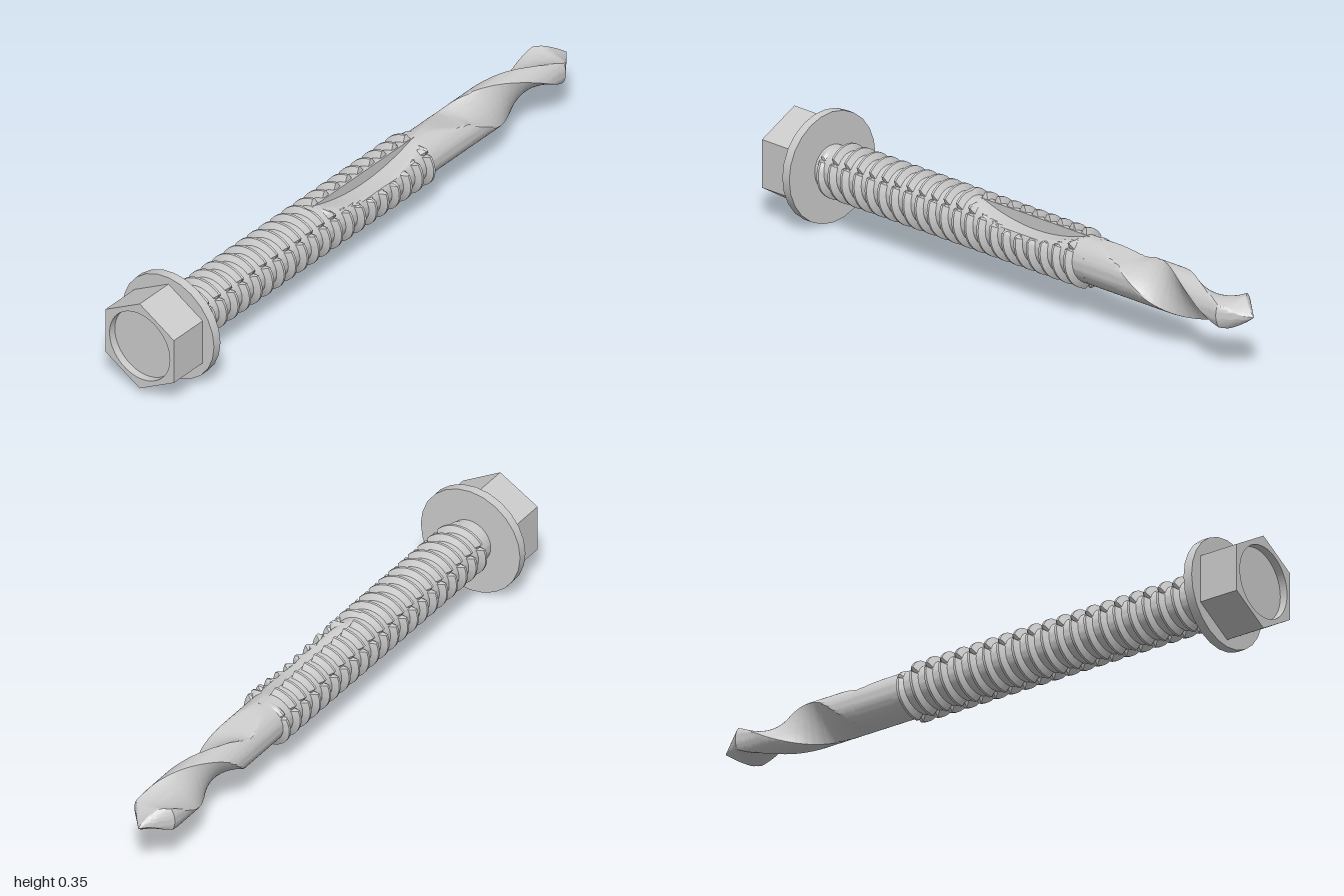
import * as THREE from 'three';
import { toCreasedNormals } from 'three/addons/utils/BufferGeometryUtils.js';

const AXIS_Y = 0.174, CORE = 0.071, CREST = 0.09;
const TAU = Math.PI * 2;
const lerp = THREE.MathUtils.lerp, smooth = THREE.MathUtils.smoothstep;

// Skin closed rings of [x, y, z] points into one surface
function loft(rings, crease = 0.6) {
  const n = rings[0].length, index = [];
  for (let i = 0; i < rings.length - 1; i++) {
    for (let j = 0; j < n; j++) {
      const a = i * n + j, b = i * n + (j + 1) % n;
      index.push(a, b, a + n, b, b + n, a + n);
    }
  }
  const g = new THREE.BufferGeometry();
  g.setAttribute('position', new THREE.Float32BufferAttribute(rings.flat(2), 3));
  g.setIndex(index);
  return toCreasedNormals(g, crease);
}

// Radius left at angle a (0 = up, quarter turn = front) once the side notch is cut
function notched(x, a, r, inset = 0) {
  const c = Math.cos(a), s = Math.sin(a);
  if (c <= 0 || s <= 0) return r;
  const floor = 0.032 - inset + 0.74 * (x - 0.05) ** 2;
  return Math.min(r, floor / c);
}

// Plain shank with the notch in its upper front quarter
function shankGeometry() {
  const rings = [];
  for (let i = 0; i <= 60; i++) {
    const x = lerp(-0.84, 0.33, i / 60), ring = [];
    for (let j = 0; j <= 64; j++) {
      const a = lerp(0.0005, TAU - 0.0005, j / 64);
      const r = notched(x, a, CORE);
      ring.push([x, r * Math.cos(a), r * Math.sin(a)]);
    }
    rings.push(ring);
  }
  return loft(rings);
}

// Right-hand helical thread with three small nicks per turn
function threadGeometry() {
  const pitch = 0.054, x0 = -0.822, turns = 21, perTurn = 60, rings = [];
  const profile = [[0.016, 0], [0.004, 1], [-0.004, 1], [-0.016, 0]];
  for (let i = 0; i <= turns * perTurn; i++) {
    const t = i / perTurn, a = t * TAU + 0.01;
    const fade = Math.min(1, t * 3, (turns - t) * 3);
    const nick = (i % perTurn) % 20 === 9 ? 0.25 : 1;
    const base = CORE - 0.003;
    rings.push(profile.map(([dx, up]) => {
      const x = x0 + t * pitch + dx;
      const r = notched(x, a, base + up * (CREST - base) * fade * nick, 0.002);
      return [x, r * Math.cos(a), r * Math.sin(a)];
    }));
  }
  return loft(rings, 0.5);
}

// Twisted two-flute drill that grows out of the round shank and ends in a point
function drillGeometry() {
  const rings = [], steps = 90, n = 56;
  for (let i = 0; i <= steps; i++) {
    const x = lerp(0.33, 1, i / steps);
    const twist = Math.PI * (Math.max(0, x - 0.47) / 0.43 - 0.5);
    const R = CORE * Math.min(1, (1 - x) / 0.09 + 0.01);
    const tip = (1 - x) * 0.5 + 0.001;
    const web = lerp(0.04, 0.028, smooth(x, 0.5, 0.65)) + 0.008 * smooth(x, 0.78, 0.9);
    const upper = Math.min(tip, lerp(CORE, web, smooth(x, 0.32, 0.5)));
    const lower = Math.min(tip, lerp(CORE, web, smooth(x, 0.4, 0.62)));
    const cw = Math.cos(twist), sw = Math.sin(twist), ring = [];
    for (let j = 0; j < n; j++) {
      const p = j / n * TAU, c = Math.cos(p), s = Math.sin(p);
      const limit = s > 0 ? upper : lower;
      const w = R * c, t = Math.sign(s) * Math.min(R * Math.abs(s), limit);
      ring.push([x, w * cw - t * sw, w * sw + t * cw]);
    }
    rings.push(ring);
  }
  return loft(rings);
}

// Hexagonal prism along x, corners up and down, optionally bored
function hexGeometry(x0, x1, bore) {
  const pts = [];
  for (let k = 0; k < 6; k++) {
    const a = Math.PI / 2 + k * Math.PI / 3;
    pts.push(new THREE.Vector2(0.151 * Math.cos(a), 0.151 * Math.sin(a)));
  }
  const shape = new THREE.Shape(pts);
  if (bore) shape.holes.push(new THREE.Path().absarc(0, 0, bore, 0, TAU, true));
  const g = new THREE.ExtrudeGeometry(shape, { depth: x1 - x0, bevelEnabled: false, curveSegments: 40 });
  g.rotateY(Math.PI / 2);
  g.translate(x0, 0, 0);
  return g;
}

export function createModel() {
  const model = new THREE.Group();
  model.name = 'selfDrillingScrew';
  const material = new THREE.MeshStandardMaterial({ color: 0xcccccc });
  const add = (name, geometry) => {
    const mesh = new THREE.Mesh(geometry, material);
    mesh.name = name;
    mesh.position.y = AXIS_Y;
    model.add(mesh);
  };

  // Head: solid hexagon with a shallow round recess inside its rim
  add('hexHead', hexGeometry(-0.975, -0.86));
  add('hexHeadRim', hexGeometry(-1, -0.975, 0.115));

  // Washer flange
  const flange = new THREE.CylinderGeometry(0.174, 0.174, 0.03, 24);
  flange.rotateZ(Math.PI / 2);
  flange.translate(-0.85, 0, 0);
  add('flange', flange);

  add('shank', shankGeometry());
  add('thread', threadGeometry());
  add('drillPoint', drillGeometry());
  return model;
}
